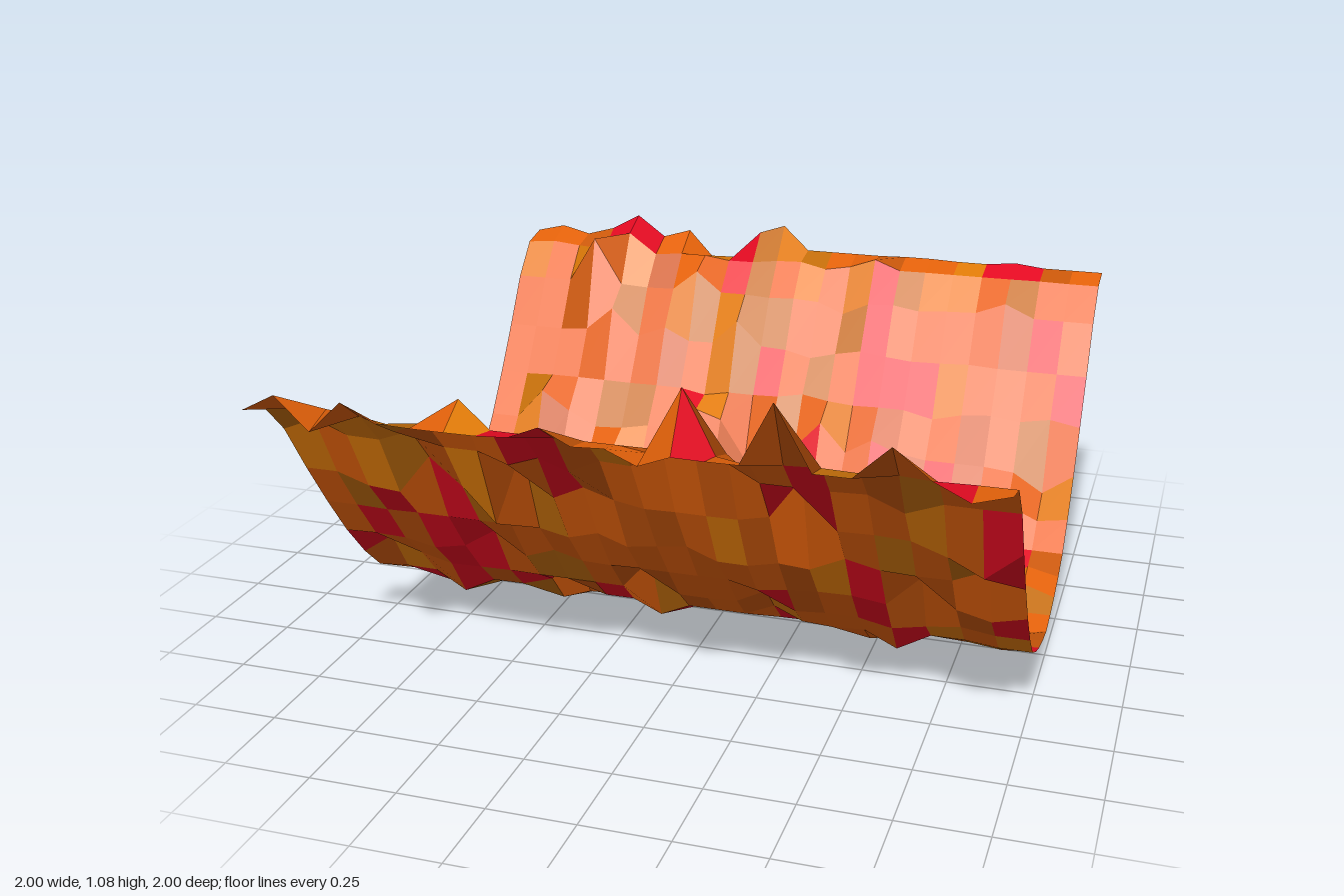
import * as THREE from 'three';

const HALF = 11; // cells from the centre to each border

// Seeded generator for the surface bumps and tints
function makeRandom(seed) {
  let s = seed;
  return () => {
    s = (Math.imul(s, 1664525) + 1013904223) >>> 0;
    return s / 4294967296;
  };
}

// Grid line position: cells are slightly narrower in the middle
function gridLine(i) {
  const k = Math.abs(i - HALF);
  const d = k <= 5 ? k * 0.0857 : 0.4285 + (k - 5) * 0.09525;
  return Math.sign(i - HALF) * d;
}

// Valley height from the floor (centre) to the rim
const profile = [0.078, 0.09, 0.11, 0.14, 0.18, 0.26, 0.37, 0.5, 0.64, 0.79, 0.89, 0.91];

// Lowest and highest point of each row, from back to front
const ranges = [
  [0.82, 0.97], [0.85, 0.96], [0.75, 0.95], [0.6, 0.78], [0.45, 0.6], [0.28, 0.48],
  [0.22, 0.33], [0.14, 0.24], [0.05, 0.24], [0.04, 0.2], [0.05, 0.16], [0.04, 0.14],
  [0.05, 0.18], [0.06, 0.2], [0.1, 0.21], [0.12, 0.23], [0.19, 0.36], [0.29, 0.5],
  [0.44, 0.58], [0.52, 0.78], [0.68, 0.9], [0.82, 0.97], [0.82, 0.96],
];

// Distinct peaks and pits, keyed by column and row
const peaks = {
  '16,22': 1.08, '13,21': 1.06, '4,0': 0.99, '19,22': 1.0, '10,0': 0.99, '1,22': 0.96,
  '3,22': 0.96, '6,0': 0.95, '15,9': 0.28, '4,9': 0, '1,9': 0.02, '10,8': 0.03, '7,15': 0.33,
};

// Columns of the red cells, one list per row from back to front
const redCells = [
  [3, 4, 8, 18, 19], [8, 14], [14, 20], [10, 14, 15, 16, 21], [7], [10, 12, 15, 17],
  [9, 10, 12], [0, 4, 11, 15, 20], [11, 19], [4, 7, 12, 13], [5, 9, 10, 12, 13],
  [2, 3, 4, 17], [2, 12, 17], [4, 14, 16, 20, 21], [1, 10, 14], [3, 5, 6, 8, 18],
  [0, 3, 4, 14, 17, 21], [1, 3, 4, 17], [2, 4, 21], [8, 15, 16, 21], [7, 8, 16], [7, 8, 13, 20],
];

const tints = [
  { name: 'orangeGround', color: 0xe5620a, share: 0.5 },
  { name: 'amberGround', color: 0xe27c08, share: 0.65 },
  { name: 'rustGround', color: 0xcb580a, share: 0.87 },
  { name: 'ochreGround', color: 0xc46e0a, share: 1 },
  { name: 'redGround', color: 0xe60a22, share: 2 },
];

export function createModel() {
  const model = new THREE.Group();
  model.name = 'valleyTerrain';
  const random = makeRandom(7);
  const n = HALF * 2;

  // Height field: mostly gentle bumps with a few strong ones, smooth side borders
  const points = [];
  for (let r = 0; r <= n; r++) {
    const base = profile[Math.abs(r - HALF)];
    const [low, high] = ranges[r];
    points.push([]);
    for (let c = 0; c <= n; c++) {
      const t = (2 * random() - 1) ** 5;
      const border = c === 0 || c === n;
      const bump = border ? 0 : t * (t < 0 ? base - low : high - base);
      const y = peaks[`${c},${r}`] ?? base + bump;
      points[r].push(new THREE.Vector3(gridLine(c), y, gridLine(r)));
    }
  }

  // Sort the cells by tint; each cell has one normal so it reads as one facet
  const faces = tints.map(() => ({ position: [], normal: [] }));
  for (let r = 0; r < n; r++) {
    for (let c = 0; c < n; c++) {
      const pick = random();
      const t = redCells[r].includes(c) ? 4 : tints.findIndex((tint) => pick < tint.share);
      const a = points[r][c], b = points[r + 1][c];
      const d = points[r + 1][c + 1], e = points[r][c + 1];
      const normal = d.clone().sub(a).cross(e.clone().sub(b)).normalize();
      for (const p of [a, b, e, b, d, e]) {
        faces[t].position.push(p.x, p.y, p.z);
        faces[t].normal.push(normal.x, normal.y, normal.z);
      }
    }
  }

  // One faceted mesh per tint
  tints.forEach((tint, i) => {
    const geometry = new THREE.BufferGeometry();
    for (const key of ['position', 'normal']) {
      geometry.setAttribute(key, new THREE.Float32BufferAttribute(faces[i][key], 3));
    }
    const material = new THREE.MeshStandardMaterial({ color: tint.color, side: THREE.DoubleSide });
    const mesh = new THREE.Mesh(geometry, material);
    mesh.name = tint.name;
    model.add(mesh);
  });
  return model;
}
